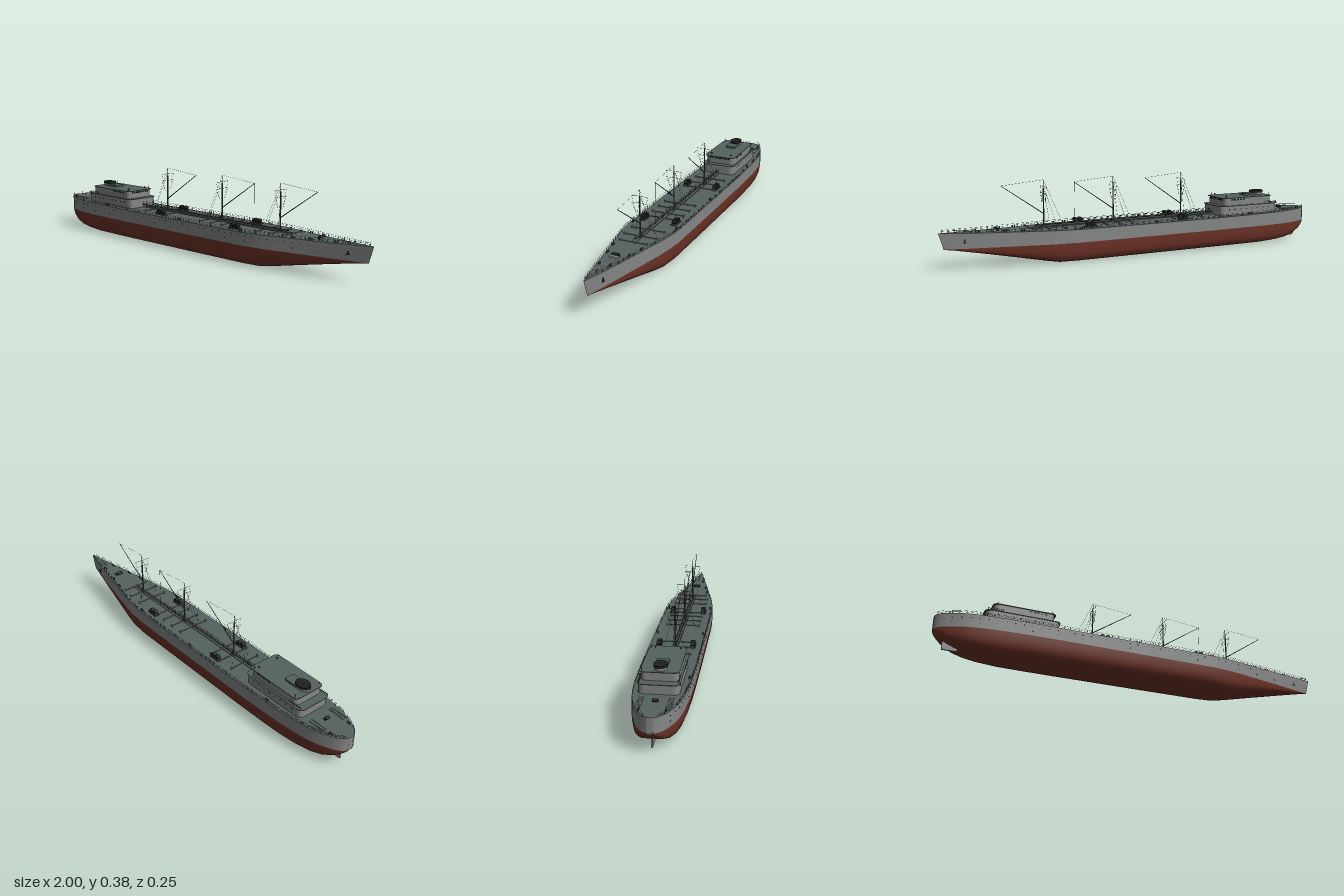
import * as THREE from 'three';
import { mergeGeometries } from 'three/addons/utils/BufferGeometryUtils.js';

const V = (x, y, z) => new THREE.Vector3(x, y, z);
const mat = (name, color, side = THREE.FrontSide) => {
  const m = new THREE.MeshStandardMaterial({ color, side });
  m.name = name;
  return m;
};

// Stations along the hull: x, half beam, keel height, deck height
const STATIONS = [
  [-1, 0.012, 0.09, 0.163], [-0.992, 0.03, 0.08, 0.163], [-0.975, 0.047, 0.066, 0.163], [-0.95, 0.062, 0.047, 0.162],
  [-0.9, 0.084, 0.025, 0.162], [-0.85, 0.098, 0.013, 0.161], [-0.78, 0.109, 0.005, 0.16], [-0.68, 0.117, 0, 0.159],
  [-0.55, 0.122, 0, 0.158], [-0.4, 0.124, 0, 0.157], [0, 0.124, 0, 0.157], [0.36, 0.123, 0, 0.157],
  [0.45, 0.114, 0.001, 0.158], [0.52, 0.102, 0.013, 0.159], [0.65, 0.074, 0.038, 0.161],
  [0.8, 0.042, 0.066, 0.164], [0.92, 0.014, 0.087, 0.168], [0.975, 0.0008, 0.095, 0.17],
];
const WATER = 0.095;
const SECTION = [[1, 1], [0.985, 0.7], [0.945, 0.4], [0.87, 0.18], [0.76, 0.06], [0.6, 0.01], [0, 0]];

function at(x, k) {
  let i = 0;
  while (i < STATIONS.length - 2 && STATIONS[i + 1][0] < x) i++;
  const a = STATIONS[i], b = STATIONS[i + 1];
  return THREE.MathUtils.lerp(a[k], b[k], THREE.MathUtils.clamp((x - a[0]) / (b[0] - a[0]), 0, 1));
}
const deckX = x => x + 0.022 * THREE.MathUtils.smoothstep(x, 0.6, 0.975); // raked stem

// Skin a list of equal-length cross-sections
function loft(rows) {
  const n = rows[0].length, idx = [];
  for (let i = 0; i < rows.length - 1; i++) for (let j = 0; j < n - 1; j++) {
    const a = i * n + j, b = a + n;
    idx.push(a, a + 1, b, b, a + 1, b + 1);
  }
  const g = new THREE.BufferGeometry().setFromPoints(rows.flat());
  g.setIndex(idx);
  g.computeVertexNormals();
  return g;
}

function rod(a, b, r, r2 = r, sides = 4) {
  const d = b.clone().sub(a);
  const g = new THREE.CylinderGeometry(r2, r, d.length(), sides);
  g.applyQuaternion(new THREE.Quaternion().setFromUnitVectors(V(0, 1, 0), d.normalize()));
  return g.translate((a.x + b.x) / 2, (a.y + b.y) / 2, (a.z + b.z) / 2);
}
const box = (w, h, d, x, y, z) => new THREE.BoxGeometry(w, h, d).translate(x, y, z);
const drum = (r, len, x, y, z) => new THREE.CylinderGeometry(r, r, len, 12).rotateX(Math.PI / 2).translate(x, y, z);

// Posts under a top and middle rail along a path
function railing(path, h, r = 0.0006) {
  const parts = [];
  path.forEach((p, i) => {
    parts.push(rod(p, V(p.x, p.y + h, p.z), r));
    if (i) for (const f of [0.5, 1]) {
      const q = path[i - 1];
      parts.push(rod(V(q.x, q.y + h * f, q.z), V(p.x, p.y + h * f, p.z), r * 0.8));
    }
  });
  return parts;
}

// Rounded block seen from above, standing on y
function block(x0, x1, half, y, h, r) {
  const s = new THREE.Shape();
  s.moveTo(x0 + r, -half);
  s.lineTo(x1 - r, -half);
  s.quadraticCurveTo(x1, -half, x1, -half + r);
  s.lineTo(x1, half - r);
  s.quadraticCurveTo(x1, half, x1 - r, half);
  s.lineTo(x0 + r, half);
  s.quadraticCurveTo(x0, half, x0, half - r);
  s.lineTo(x0, -half + r);
  s.quadraticCurveTo(x0, -half, x0 + r, -half);
  return new THREE.ExtrudeGeometry(s, { depth: h, bevelEnabled: false, curveSegments: 5 }).rotateX(-Math.PI / 2).translate(0, y, 0);
}

export function createModel() {
  const ship = new THREE.Group();
  const grey = mat('hull grey', 0x858786), red = mat('bottom red', 0x6e3327), deckGreen = mat('deck green', 0x55625f);
  const black = mat('black', 0x1e2020), steel = mat('dark steel', 0x454948), pale = mat('pale grey', 0xa3a6a4);
  const add = (name, parts, m) => {
    const g = Array.isArray(parts) ? mergeGeometries(parts) : parts;
    const mesh = new THREE.Mesh(g, m);
    mesh.name = name;
    ship.add(mesh);
  };

  // Hull
  add('hullBottom', loft(STATIONS.map(([x, w, k]) => {
    const half = SECTION.map(([fw, fy]) => V(x, k + (WATER - k) * fy, w * fw));
    return [...half, ...half.slice(0, -1).reverse().map(p => V(p.x, p.y, -p.z))];
  })), red);
  const topside = s => loft(STATIONS.map(([x, w, , d]) => {
    const row = [V(deckX(x), d, w * s), V(x, WATER, w * s)];
    return s > 0 ? row : row.reverse();
  }));
  add('hullSides', [topside(1), topside(-1)], grey);
  add('sternPlate', box(0.002, 0.069, 0.024, -0.9995, 0.128, 0), grey);
  add('deck', loft(STATIONS.map(([x, w, , d]) => [V(deckX(x), d, -w), V(deckX(x), d + 0.001, 0), V(deckX(x), d, w)])), deckGreen);
  add('rudder', [box(0.07, 0.042, 0.008, -0.918, 0.029, 0), rod(V(-0.91, 0.04, 0), V(-0.91, 0.07, 0), 0.005)], grey);

  // Hull portholes, anchors and deck-edge railings
  const holes = [], rails = [], anchors = [];
  for (const s of [1, -1]) {
    for (let x = -0.93; x < 0.93; x += 0.04) {
      const turn = Math.atan2(at(x - 0.01, 1) - at(x + 0.01, 1), 0.02);
      for (const y of [0.142, 0.118]) {
        if (y < 0.13 && Math.round(x * 100) % 3) continue;
        const g = new THREE.CylinderGeometry(0.0022, 0.0022, 0.003, 8).rotateX(Math.PI / 2).rotateY(turn);
        holes.push(g.translate(x, y, at(x, 1) * 1.0));
      }
    }
    const path = [];
    for (let x = -0.99; x < 0.98; x += 0.03) path.push(V(deckX(x), at(x, 3), s * Math.max(at(x, 1) - 0.002, 0.001)));
    rails.push(...railing(path, 0.014));
    anchors.push(box(0.006, 0.016, 0.004, 0.885, 0.13, s * 0.0245), box(0.016, 0.004, 0.005, 0.885, 0.123, s * 0.0245));
  }
  add('portholes', holes, black);
  add('deckRailing', rails, steel);
  add('anchors', anchors, black);

  // Aft house: two tiers with roof slabs
  add('houseWalls', [block(-0.78, -0.43, 0.087, 0.155, 0.048, 0.03), block(-0.745, -0.455, 0.08, 0.205, 0.038, 0.025)], grey);
  add('houseRoofs', [block(-0.787, -0.425, 0.09, 0.203, 0.003, 0.03), block(-0.75, -0.447, 0.084, 0.243, 0.003, 0.025),
    block(-0.7, -0.615, 0.027, 0.246, 0.01, 0.006)], deckGreen);
  const windows = [];
  for (let i = 0; i < 8; i++) windows.push(box(0.002, 0.008, 0.011, -0.4546, 0.236, -0.0525 + i * 0.015));
  for (const s of [1, -1]) {
    for (let i = 0; i < 5; i++) windows.push(box(0.011, 0.008, 0.002, -0.5 - i * 0.018, 0.236, s * 0.0796));
    for (let i = 0; i < 8; i++) windows.push(box(0.006, 0.006, 0.002, -0.48 - i * 0.035, 0.187, s * 0.0866));
  }
  add('houseWindows', windows, black);
  const houseRails = [], lamps = [];
  for (const s of [1, -1]) {
    const p = [];
    for (let x = -0.775; x < -0.7; x += 0.012) p.push(V(x, 0.206, s * 0.082));
    houseRails.push(...railing(p, 0.012));
    for (const x of [-0.47, -0.73]) lamps.push(rod(V(x, 0.246, s * 0.074), V(x, 0.261, s * 0.074), 0.001));
    lamps.push(box(0.006, 0.007, 0.005, -0.48, 0.253, s * 0.056));
  }
  add('houseRailing', houseRails, steel);
  add('roofLamps', lamps, steel);

  // Oval funnel
  const oval = (r, y, h) => new THREE.CylinderGeometry(r, r, h, 24).scale(1.3, 1, 1).translate(-0.703, y, 0);
  add('funnel', oval(0.028, 0.251, 0.012), grey);
  add('funnelCap', oval(0.03, 0.2625, 0.011), black);

  // Three masts with booms, yards and rigging
  const masts = [], rigging = [];
  for (const x of [-0.24, 0.14, 0.5]) {
    const top = V(x, 0.384, 0), tip = V(x + 0.205, 0.366, 0);
    masts.push(rod(V(x, 0.155, 0), V(x, 0.345, 0), 0.004, 0.003, 8), rod(V(x, 0.34, 0), top, 0.0016, 0.001, 6));
    masts.push(rod(V(x, 0.225, 0), tip, 0.0024, 0.0014, 6), box(0.016, 0.012, 0.016, x, 0.163, 0));
    for (const y of [0.353, 0.32]) masts.push(rod(V(x, y, -0.041), V(x, y, 0.041), 0.0008));
    rigging.push(rod(top, tip, 0.0005), rod(top, V(x - 0.1, 0.16, 0), 0.0005));
    for (const s of [1, -1]) {
      rigging.push(rod(V(x, 0.353, s * 0.041), V(x, 0.27, s * 0.018), 0.0005), rod(V(x, 0.32, s * 0.041), V(x, 0.27, s * 0.018), 0.0005));
      rigging.push(rod(V(x, 0.36, 0), V(x - 0.05, 0.16, s * 0.05), 0.0005));
    }
  }
  rigging.push(rod(V(0.343, 0.366, 0), V(0.343, 0.16, 0), 0.0008));
  add('mastsAndBooms', masts, steel);
  add('rigging', rigging, steel);

  // Central catwalk, lengthwise pipes and cross pipes
  add('catwalk', box(0.98, 0.003, 0.012, 0.06, 0.172, 0), steel);
  const walkRails = [], pipes = [];
  for (const s of [1, -1]) {
    const p = [];
    for (let x = -0.42; x < 0.35; x += 0.035) p.push(V(x, 0.172, s * 0.006));
    walkRails.push(...railing(p, 0.015, 0.0005));
    pipes.push(rod(V(-0.42, 0.163, s * 0.011), V(0.58, 0.163, s * 0.011), 0.002, 0.002, 6));
  }
  for (const x of [-0.32, -0.24, -0.17, 0.07, 0.14, 0.21, 0.27, 0.42, 0.5, 0.57]) {
    const w = Math.min(0.08, at(x, 1) - 0.025);
    pipes.push(rod(V(x, 0.163, -w), V(x, 0.163, w), 0.002, 0.002, 6));
    for (const s of [1, -1]) pipes.push(box(0.007, 0.012, 0.007, x, 0.163, s * w));
  }
  add('catwalkRailing', walkRails, steel);
  add('deckPipes', pipes, grey);

  // Winches, stern ladders, windlass and bollards
  const winches = [], bases = [], ladders = [], bollards = [];
  for (const s of [1, -1]) {
    for (const x of [-0.205, 0.295]) {
      bases.push(box(0.06, 0.005, 0.026, x, 0.16, s * 0.08));
      for (const d of [-0.013, 0.013]) winches.push(drum(0.011, 0.02, x + d, 0.172, s * 0.08));
    }
    for (let i = 0; i < 8; i++) ladders.push(box(0.006, 0.003, 0.014, -0.9 + i * 0.011, 0.166, s * (0.056 + i * 0.0014)));
    ladders.push(box(0.085, 0.002, 0.002, -0.861, 0.168, s * 0.053), box(0.085, 0.002, 0.002, -0.861, 0.168, s * 0.071));
    for (const x of [-0.94, -0.6, -0.05, 0.35, 0.62, 0.7, 0.82]) for (const d of [0, 0.012])
      bollards.push(rod(V(x + d, at(x, 3), s * (at(x, 1) - 0.012)), V(x + d, at(x, 3) + 0.01, s * (at(x, 1) - 0.012)), 0.0025, 0.003, 8));
  }
  winches.push(drum(0.008, 0.034, 0.73, 0.171, 0), drum(0.007, 0.024, -0.855, 0.17, 0));
  add('winchBases', bases, steel);
  add('winches', winches, black);
  add('sternLadders', ladders, pale);
  add('bollards', bollards, steel);
  add('foredeckFittings', [box(0.012, 0.008, 0.04, 0.745, 0.167, 0), box(0.03, 0.006, 0.006, 0.87, 0.17, 0),
    rod(V(0.9, 0.166, 0), V(0.9, 0.18, 0), 0.0015)], pale);

  return ship;
}
